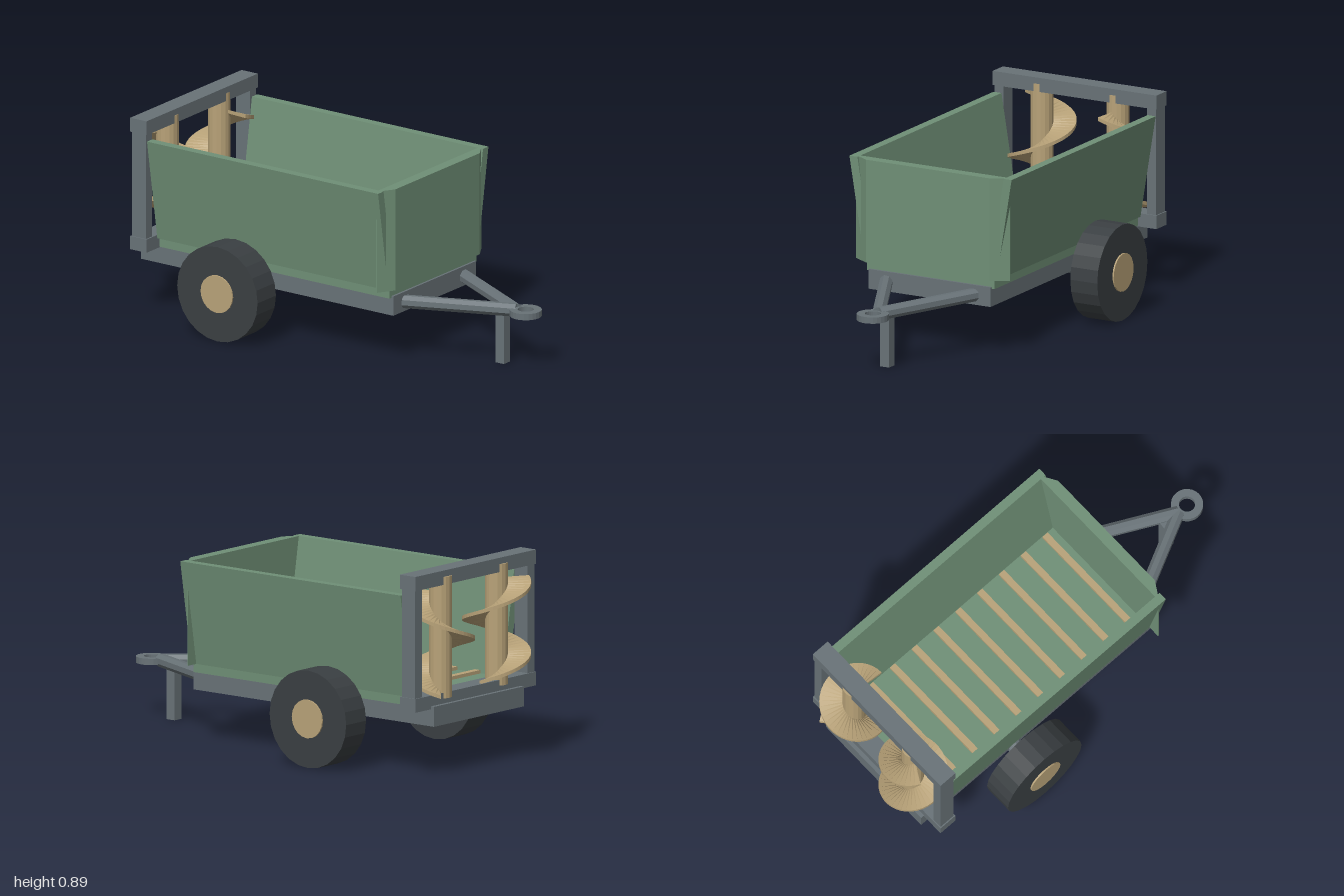
import * as THREE from 'three';

const mat = (color) => new THREE.MeshStandardMaterial({ color, flatShading: true });

export function createModel() {
  const model = new THREE.Group();
  const green = mat(0x6f8f76), tan = mat(0xb8a278), steel = mat(0x687277), rubber = mat(0x3a3f42);

  const add = (name, geometry, material, x = 0, y = 0, z = 0) => {
    const mesh = new THREE.Mesh(geometry, material);
    mesh.name = name;
    mesh.position.set(x, y, z);
    model.add(mesh);
    return mesh;
  };
  // Box given by its extents on each axis
  const box = (name, material, [x0, x1], [y0, y1], [z0, z1]) =>
    add(name, new THREE.BoxGeometry(x1 - x0, y1 - y0, z1 - z0), material,
      (x0 + x1) / 2, (y0 + y1) / 2, (z0 + z1) / 2);
  // Round bar between two points
  const bar = (name, material, a, b, radius, sides) => {
    const dir = b.clone().sub(a);
    const mesh = add(name, new THREE.CylinderGeometry(radius, radius, dir.length(), sides), material);
    mesh.position.copy(a).lerp(b, 0.5);
    mesh.quaternion.setFromUnitVectors(new THREE.Vector3(0, 1, 0), dir.normalize());
    return mesh;
  };
  const shapeOf = (points) => new THREE.Shape(points.map(([x, y]) => new THREE.Vector2(x, y)));
  const extrude = (shape, depth, curveSegments = 12) =>
    new THREE.ExtrudeGeometry(shape, { depth, bevelEnabled: false, curveSegments });

  // Chassis and load floor
  box('chassis', steel, [-0.305, 0.305], [0.22, 0.308], [-0.908, 0.44]);
  box('floor', green, [-0.32, 0.32], [0.3, 0.34], [-0.8, 0.43]);
  for (let i = 0; i < 9; i++) {
    const z = -0.665 + i * 0.1275;
    box('floorSlat', tan, [-0.285, 0.285], [0.335, 0.355], [z - 0.015, z + 0.015]);
  }

  // Side walls flare outwards towards the top
  for (const s of [-1, 1]) {
    const profile = shapeOf([[0.29 * s, 0.34], [0.33 * s, 0.34], [0.406 * s, 0.8], [0.366 * s, 0.8]]);
    add('sideWall', extrude(profile, 1.235), green, 0, 0, -0.803);
  }

  // Front wall with chamfered outer corners, drawn in plan
  const plan = shapeOf([[-0.385, -0.405], [-0.385, -0.41], [-0.31, -0.455],
    [0.31, -0.455], [0.385, -0.41], [0.385, -0.405]]);
  add('frontWall', extrude(plan, 0.46).rotateX(-Math.PI / 2), green, 0, 0.34, 0);

  // Rear frame carrying the augers
  box('topBeam', steel, [-0.41, 0.41], [0.83, 0.893], [-0.89, -0.803]);
  box('bottomBeam', steel, [-0.41, 0.41], [0.295, 0.355], [-0.89, -0.803]);
  for (const s of [-1, 1]) {
    add('rearPost', new THREE.BoxGeometry(0.045, 0.5, 0.075), steel, 0.382 * s, 0.595, -0.847);
  }

  // Augers: a box strip wound into a helical flight, opposite hands
  const flight = (a0, a1, y0, y1) => {
    const geometry = new THREE.BoxGeometry(1, 1, 1, 1, 1, 56);
    const p = geometry.attributes.position;
    for (let i = 0; i < p.count; i++) {
      const r = 0.0975 + p.getX(i) * 0.105;
      const t = p.getZ(i) + 0.5;
      const a = THREE.MathUtils.degToRad(a0 + (a1 - a0) * t);
      p.setXYZ(i, r * Math.cos(a), y0 + (y1 - y0) * t + p.getY(i) * 0.016, r * Math.sin(a));
    }
    geometry.computeVertexNormals();
    return geometry;
  };
  for (const s of [-1, 1]) {
    add('augerShaft', new THREE.CylinderGeometry(0.05, 0.05, 0.535, 16), tan, 0.19 * s, 0.5975, -0.85);
  }
  add('augerFlightLeft', flight(-400, 95, 0.355, 0.78), tan, 0.19, 0, -0.85);
  add('augerFlightRight', flight(-150, 350, 0.79, 0.36), tan, -0.19, 0, -0.85);

  // Axle and wheels
  const v = (x, y, z) => new THREE.Vector3(x, y, z);
  bar('axle', steel, v(-0.37, 0.217, -0.36), v(0.37, 0.217, -0.36), 0.038, 12);
  for (const s of [-1, 1]) {
    bar('tyre', rubber, v(0.363 * s, 0.215, -0.36), v(0.498 * s, 0.215, -0.36), 0.215, 24);
    bar('hub', tan, v(0.356 * s, 0.217, -0.36), v(0.505 * s, 0.217, -0.36), 0.085, 20);
  }

  // Drawbar, towing eye and support leg
  for (const s of [-1, 1]) {
    bar('drawbar', steel, v(0.222 * s, 0.263, 0.43), v(0, 0.25, 0.875), 0.03, 8);
  }
  const eye = new THREE.Shape().absarc(0, 0, 0.07, 0, Math.PI * 2);
  eye.holes.push(new THREE.Path().absarc(0, 0, 0.035, 0, Math.PI * 2, true));
  add('towingEye', extrude(eye, 0.028, 12).rotateX(-Math.PI / 2), steel, 0, 0.235, 0.926);
  box('supportLeg', steel, [-0.023, 0.023], [0, 0.255], [0.78, 0.826]);

  return model;
}
